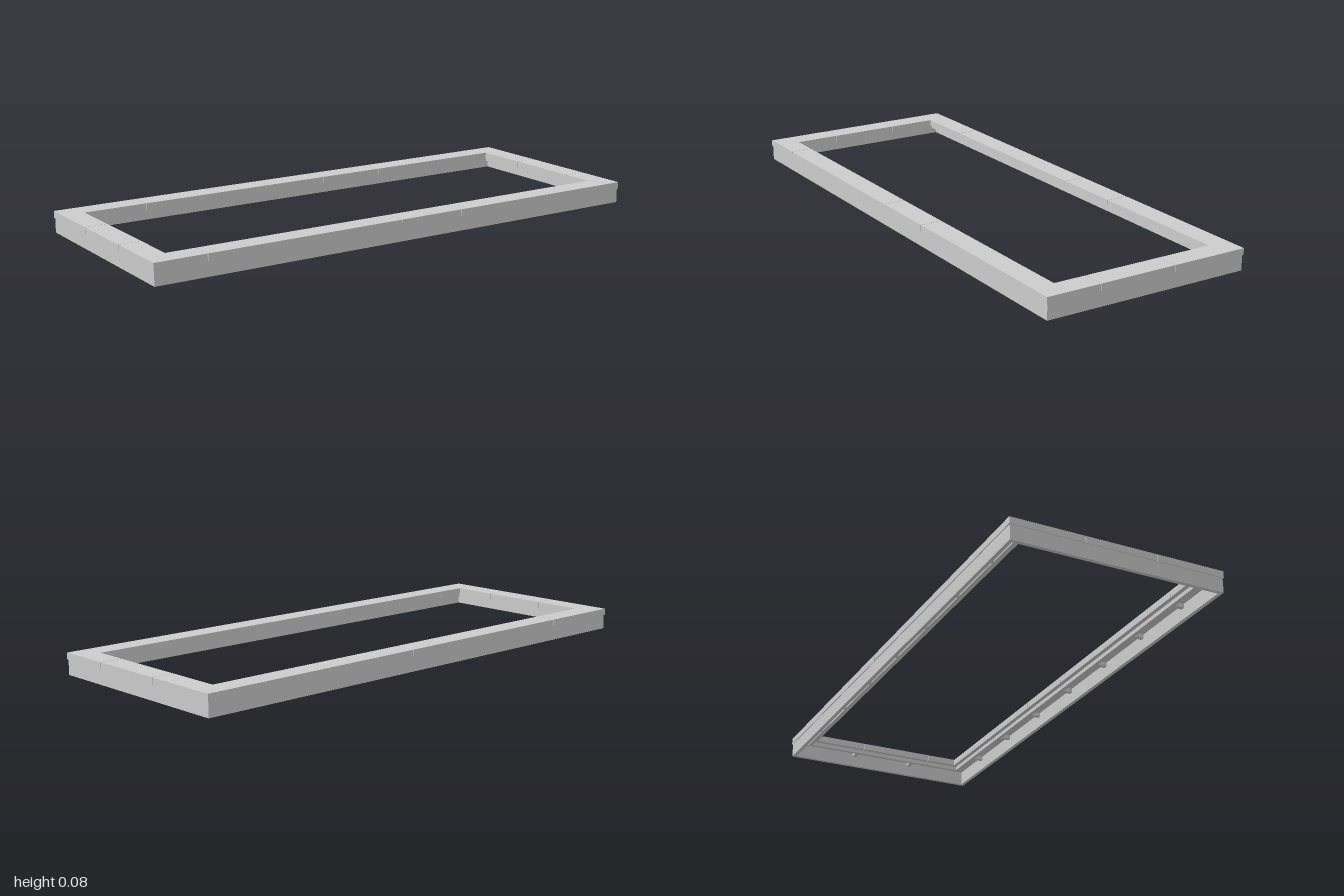
import * as THREE from 'three';

const HX = 1, HZ = 0.397;          // outer half sizes of the coping
const TOP = 0.08, SEAM = 0.055;    // coping top and underside heights
const COPING = 0.083;              // coping width
const GAP = 0.002;                 // joint between coping slabs

export function createModel() {
  const model = new THREE.Group();
  const material = new THREE.MeshStandardMaterial({ color: 0xcccccc, flatShading: true });

  // Box given by its minimum and maximum on each axis
  function block(name, x0, x1, y0, y1, z0, z1) {
    const mesh = new THREE.Mesh(new THREE.BoxGeometry(x1 - x0, y1 - y0, z1 - z0), material);
    mesh.position.set((x0 + x1) / 2, (y0 + y1) / 2, (z0 + z1) / 2);
    mesh.name = name;
    model.add(mesh);
  }

  // Rectangular ring extruded upwards
  function ring(name, hx, hz, width, y0, y1) {
    const rect = (S, a, b) => new S([[-a, -b], [a, -b], [a, b], [-a, b]].map(p => new THREE.Vector2(...p)));
    const shape = rect(THREE.Shape, hx, hz);
    shape.holes.push(rect(THREE.Path, hx - width, hz - width));
    const geometry = new THREE.ExtrudeGeometry(shape, { depth: y1 - y0, bevelEnabled: false });
    geometry.rotateX(-Math.PI / 2);
    const mesh = new THREE.Mesh(geometry, material);
    mesh.position.y = y0;
    mesh.name = name;
    model.add(mesh);
  }

  // Split a length at its joints and build one slab per piece
  function slabs(start, end, joints, build) {
    const stops = [start, ...joints, end];
    for (let i = 0; i < stops.length - 1; i++) {
      build(stops[i] + (i ? GAP / 2 : 0), stops[i + 1] - (i < stops.length - 2 ? GAP / 2 : 0));
    }
  }

  // Coping slabs: long sides run through the corners, short sides fit between
  const inX = HX - COPING, inZ = HZ - COPING;
  slabs(-HX, HX, [-0.805, -0.035, 0.23], (a, b) => block('frontCoping', a, b, SEAM, TOP, inZ, HZ));
  slabs(-HX, HX, [-0.675, 0.095, 0.36], (a, b) => block('backCoping', a, b, SEAM, TOP, -HZ, -inZ));
  slabs(-inZ, inZ, [-0.125, 0.14], (a, b) => block('rightCoping', -HX, -inX, SEAM, TOP, a, b));
  slabs(-inZ, inZ, [-0.105, 0.19], (a, b) => block('leftCoping', inX, HX, SEAM, TOP, a, b));

  // Outer skirt and the small rail beneath the inner edge
  ring('skirt', HX - 0.003, HZ - 0.003, 0.014, 0, SEAM);
  ring('innerRail', inX + 0.03, inZ + 0.03, 0.014, 0.04, SEAM);

  // Short battens joining skirt to rail under the coping
  const skirtIn = 0.017, railOut = COPING - 0.03;
  for (const side of [-1, 1]) {
    for (let i = -3; i <= 3; i++) {
      const z = [side * (HZ - skirtIn), side * (HZ - railOut)].sort((a, b) => a - b);
      block('longSideBatten', i * 0.26 - 0.008, i * 0.26 + 0.008, 0.04, SEAM, ...z);
    }
    for (const c of [-0.125, 0.125]) {
      const x = [side * (HX - skirtIn), side * (HX - railOut)].sort((a, b) => a - b);
      block('shortSideBatten', ...x, 0.04, SEAM, c - 0.008, c + 0.008);
    }
  }
  return model;
}
